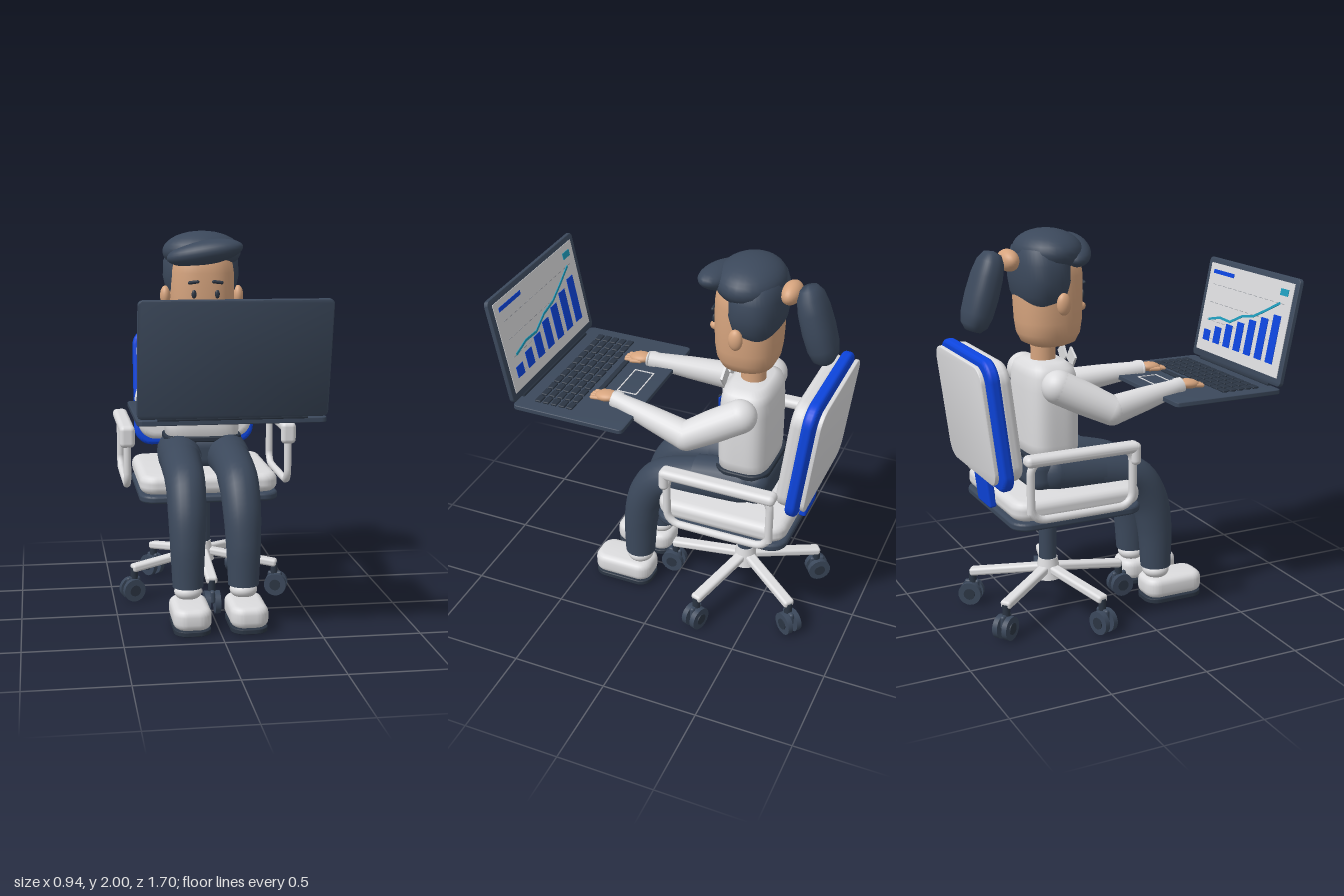
import * as THREE from 'three';
import { RoundedBoxGeometry } from 'three/addons/geometries/RoundedBoxGeometry.js';
import { mergeVertices, toCreasedNormals } from 'three/addons/utils/BufferGeometryUtils.js';

const paint = (name, color) => Object.assign(new THREE.MeshStandardMaterial({ color }), { name });
const navy = paint('navy', 0x3b485b), dark = paint('darkNavy', 0x2b3543), light = paint('lightGrey', 0xdcdcde);
const blue = paint('blue', 0x0d45de), skin = paint('skin', 0xd6a47e), teal = paint('teal', 0x1f9dbd), grey = paint('grey', 0x9b9fa5);

const V = (x, y, z) => new THREE.Vector3(x, y, z);

function add(parent, name, geo, mat, x = 0, y = 0, z = 0, rx = 0, ry = 0, rz = 0) {
  const m = new THREE.Mesh(geo, mat);
  m.name = name;
  m.position.set(x, y, z);
  m.rotation.set(rx, ry, rz);
  parent.add(m);
  return m;
}
const group = (parent, name) => {
  const g = new THREE.Group();
  g.name = name;
  parent.add(g);
  return g;
};
const box = (w, h, d) => new THREE.BoxGeometry(w, h, d);
const rbox = (w, h, d, r) => new RoundedBoxGeometry(w, h, d, 4, r);
const ball = (rx, ry, rz) => new THREE.SphereGeometry(1, 28, 18).scale(rx, ry, rz);
const cyl = (r0, r1, h) => new THREE.CylinderGeometry(r0, r1, h, 28);

function roundRect(w, h, r) {
  const s = new THREE.Shape(), x = w / 2, y = h / 2;
  s.moveTo(-x + r, -y).lineTo(x - r, -y).absarc(x - r, -y + r, r, -Math.PI / 2, 0);
  s.lineTo(x, y - r).absarc(x - r, y - r, r, 0, Math.PI / 2);
  s.lineTo(-x + r, y).absarc(-x + r, y - r, r, Math.PI / 2, Math.PI);
  s.lineTo(-x, -y + r).absarc(-x + r, -y + r, r, Math.PI, Math.PI * 1.5);
  return s;
}
// Slab in the xy plane with round corners and softened rims
function slab(w, h, d, r, b) {
  const g = new THREE.ExtrudeGeometry(roundRect(w, h, r), {
    depth: d - 2 * b, bevelSize: b, bevelThickness: b, bevelOffset: -b, bevelSegments: 4, curveSegments: 8 });
  return toCreasedNormals(g.translate(0, 0, -(d - 2 * b) / 2), 0.7);
}
// Tube whose radius follows the list
function limb(pts, radii) {
  const curve = new THREE.CatmullRomCurve3(pts), N = 32;
  const g = new THREE.TubeGeometry(curve, N, 1, 22), p = g.attributes.position, v = V(0, 0, 0);
  for (let i = 0; i < p.count; i++) {
    const t = Math.floor(i / 23) / N, c = curve.getPointAt(t), k = t * (radii.length - 1);
    const a = Math.min(Math.floor(k), radii.length - 2);
    v.fromBufferAttribute(p, i).sub(c).multiplyScalar(THREE.MathUtils.lerp(radii[a], radii[a + 1], k - a)).add(c);
    p.setXYZ(i, v.x, v.y, v.z);
  }
  return g;
}
// Lathe squeezed in z, with its circle squared off by exponent n
function squareLathe(profile, zRatio, n) {
  const g = new THREE.LatheGeometry(profile.map(([r, y]) => new THREE.Vector2(r, y)), 48), p = g.attributes.position;
  for (let i = 0; i < p.count; i++) {
    const x = p.getX(i), z = p.getZ(i), r = Math.hypot(x, z) || 1;
    const k = (Math.abs(x / r) ** n + Math.abs(z / r) ** n) ** (-1 / n);
    p.setXYZ(i, x * k, p.getY(i), z * k * zRatio);
  }
  g.deleteAttribute('uv');
  g.deleteAttribute('normal');
  const m = mergeVertices(g, 1e-5);
  m.computeVertexNormals();
  return m;
}

function buildChair(root) {
  const chair = group(root, 'chair'), cz = -0.38;
  // Five-spoke base with twin casters
  for (let i = 0; i < 5; i++) {
    const spoke = group(chair, 'baseSpoke');
    spoke.position.z = cz;
    spoke.rotation.y = i * Math.PI * 0.4;
    add(spoke, 'spokeArm', rbox(0.06, 0.042, 0.4, 0.015), light, 0, 0.205, 0.225, 0.14);
    add(spoke, 'casterStem', cyl(0.02, 0.02, 0.1), dark, 0, 0.13, 0.41);
    add(spoke, 'casterHood', rbox(0.026, 0.07, 0.08, 0.012), navy, 0, 0.095, 0.415);
    for (const s of [-1, 1]) {
      add(spoke, 'casterWheel', cyl(0.061, 0.061, 0.028), navy, s * 0.027, 0.061, 0.42, 0, 0, Math.PI / 2);
      add(spoke, 'casterCap', cyl(0.03, 0.03, 0.008), dark, s * 0.042, 0.061, 0.42, 0, 0, Math.PI / 2);
    }
  }
  add(chair, 'hub', cyl(0.05, 0.07, 0.11), light, 0, 0.235, cz);
  add(chair, 'gasColumn', cyl(0.046, 0.046, 0.3), navy, 0, 0.43, cz);
  add(chair, 'tiltHousing', cyl(0.085, 0.085, 0.06), navy, 0, 0.565, cz);
  add(chair, 'heightLever', rbox(0.3, 0.018, 0.03, 0.008), navy, 0.195, 0.573, cz);
  // Seat
  add(chair, 'seatPan', slab(0.74, 0.7, 0.042, 0.09, 0.014), navy, 0, 0.612, -0.35, -Math.PI / 2);
  add(chair, 'seatCushion', slab(0.735, 0.69, 0.1, 0.09, 0.04), light, 0, 0.685, -0.35, -Math.PI / 2);
  // Tilted backrest
  const back = group(chair, 'backrest');
  back.position.set(0, 1.11, -0.748);
  back.rotation.x = -0.122;
  add(back, 'backFrame', slab(0.69, 0.67, 0.058, 0.1, 0.02), blue);
  add(back, 'backCushion', slab(0.65, 0.61, 0.085, 0.1, 0.035), light, 0, 0.005, 0.05);
  add(back, 'backPlate', slab(0.645, 0.6, 0.022, 0.08, 0.006), light, 0, 0.01, -0.052);
  add(back, 'backBracket', rbox(0.17, 0.24, 0.04, 0.012), blue, 0, -0.355, -0.015);
  // Armrests
  for (const s of [-1, 1]) {
    const pts = roundRect(0.54, 0.3, 0.07).getPoints(6).slice(0, -1).map(p => V(s * 0.43, 0.82 + p.y, -0.375 + p.x));
    const loop = new THREE.CatmullRomCurve3(pts, true, 'centripetal');
    add(chair, 'armrestLoop', new THREE.TubeGeometry(loop, 80, 0.02, 12, true), light);
    add(chair, 'armrestPad', rbox(0.08, 0.055, 0.6, 0.025), light, s * 0.43, 0.97, -0.375);
    add(chair, 'armrestTip', rbox(0.08, 0.115, 0.05, 0.024), light, s * 0.43, 0.938, -0.095);
  }
}

function buildLaptop(root) {
  const laptop = group(root, 'laptop');
  add(laptop, 'laptopBase', slab(0.89, 0.61, 0.025, 0.025, 0.005), navy, 0, 1.152, 0.435, -Math.PI / 2);
  for (let r = 0; r < 5; r++) for (let c = 0; c < 11; c++)
    add(laptop, 'key', rbox(0.058, 0.012, 0.034, 0.005), dark, (c - 5) * 0.0685, 1.169, 0.455 + r * 0.0445);
  add(laptop, 'spaceBar', rbox(0.35, 0.012, 0.028, 0.005), dark, 0, 1.169, 0.388);
  // Touchpad outline
  for (const s of [-1, 1]) {
    add(laptop, 'touchpadEdge', box(0.23, 0.004, 0.006), light, 0, 1.166, 0.257 + s * 0.053);
    add(laptop, 'touchpadEdge', box(0.006, 0.004, 0.106), light, s * 0.112, 1.166, 0.257);
  }
  add(laptop, 'hinge', cyl(0.012, 0.012, 0.7), dark, 0, 1.168, 0.73, 0, 0, Math.PI / 2);
  // Lid and its picture, which faces the sitter
  const lid = group(laptop, 'laptopLid');
  lid.position.set(0, 1.168, 0.735);
  lid.rotation.x = 0.195;
  add(lid, 'lidShell', slab(0.89, 0.56, 0.024, 0.025, 0.005), navy, 0, 0.285, 0);
  add(lid, 'screen', box(0.82, 0.49, 0.004), light, 0, 0.29, -0.013);
  for (let i = 0; i < 4; i++) for (let j = 0; j < 14; j++)
    add(lid, 'gridDash', box(0.032, 0.003, 0.002), grey, (j - 6.5) * 0.052, 0.12 + i * 0.1, -0.0155);
  const line = [0.225, 0.25, 0.245, 0.295, 0.315, 0.365, 0.42];
  for (let i = 0; i < 7; i++) {
    const x = 0.325 - i * 0.1065, h = 0.06 + i * 0.032;
    add(lid, 'chartBar', box(0.065, h, 0.004), blue, x, 0.105 + h / 2, -0.016);
    if (i < 6) {
      const dy = line[i + 1] - line[i];
      add(lid, 'chartLine', box(Math.hypot(0.1065, dy) + 0.006, 0.013, 0.004), teal,
        x - 0.053, line[i] + dy / 2, -0.019, 0, 0, -Math.atan2(dy, 0.1065));
    }
  }
  add(lid, 'screenHeading', box(0.21, 0.022, 0.004), blue, 0.265, 0.49, -0.016);
  add(lid, 'screenTag', box(0.07, 0.035, 0.004), teal, -0.335, 0.48, -0.016);
}

function buildHead(p) {
  const head = group(p, 'head');
  add(head, 'neck', cyl(0.062, 0.064, 0.18), skin, 0, 1.39, -0.39);
  add(head, 'skull', squareLathe([[0.001, 1.42], [0.09, 1.425], [0.135, 1.445], [0.158, 1.49], [0.167, 1.55],
    [0.172, 1.65], [0.172, 1.78], [0.16, 1.87], [0.1, 1.93], [0.001, 1.95]], 0.965, 2.4), skin, 0, 0, -0.362);
  add(head, 'nose', ball(0.026, 0.024, 0.032), skin, 0, 1.6, -0.187);
  add(head, 'mouth', new THREE.TorusGeometry(0.03, 0.005, 8, 16, 2), dark, 0, 1.562, -0.203, 0, 0, -Math.PI / 2 - 1);
  for (const s of [-1, 1]) {
    add(head, 'ear', ball(0.028, 0.055, 0.036), skin, s * 0.198, 1.655, -0.36);
    add(head, 'eye', ball(0.013, 0.023, 0.009), dark, s * 0.062, 1.672, -0.199);
    add(head, 'eyebrow', new THREE.CapsuleGeometry(0.009, 0.044, 6, 12), dark, s * 0.064, 1.735, -0.2, 0, 0, Math.PI / 2 - s * 0.12);
  }
  // Hair
  add(head, 'backHair', squareLathe([[0.001, 1.575], [0.09, 1.585], [0.155, 1.63], [0.19, 1.69], [0.205, 1.76],
    [0.202, 1.84], [0.175, 1.91], [0.1, 1.95], [0.001, 1.96]], 0.67, 2.5), navy, 0, 0, -0.404);
  add(head, 'crownHair', ball(0.212, 0.108, 0.168), navy, 0, 1.892, -0.36);
  add(head, 'fringe', ball(0.205, 0.066, 0.095), navy, 0, 1.888, -0.235, 0, -0.22, 0.17);
  add(head, 'hairTie', ball(0.085, 0.055, 0.05), skin, 0, 1.855, -0.565, -0.2);
  add(head, 'ponytail', squareLathe([[0.001, -0.2], [0.05, -0.195], [0.084, -0.165], [0.1, -0.11], [0.105, -0.02],
    [0.1, 0.08], [0.085, 0.15], [0.055, 0.19], [0.001, 0.202]], 0.72, 2.4), navy, 0, 1.712, -0.7, 0.3);
}

function buildPerson(root) {
  const p = group(root, 'person');
  buildHead(p);
  // Shirt
  add(p, 'shirtBody', squareLathe([[0.001, 0.84], [0.195, 0.85], [0.203, 0.95], [0.203, 1.1], [0.2, 1.22], [0.192, 1.29],
    [0.175, 1.33], [0.13, 1.353], [0.001, 1.358]], 0.67, 3.6), light, 0, 0, -0.39);
  for (const s of [-1, 1])
    add(p, 'collarFlap', box(0.075, 0.075, 0.012), light, s * 0.055, 1.355, -0.258, 0, 0, Math.PI / 4 + s * 0.15);
  for (let i = 0; i < 4; i++) add(p, 'button', ball(0.008, 0.008, 0.005), grey, 0, 1.02 + i * 0.088, -0.254);
  add(p, 'badge', rbox(0.036, 0.05, 0.009, 0.004), blue, 0.095, 1.235, -0.252);
  add(p, 'badgeClip', box(0.018, 0.014, 0.009), dark, 0.095, 1.258, -0.249);
  // Hips
  add(p, 'hips', rbox(0.43, 0.2, 0.3, 0.07), navy, 0, 0.805, -0.395);
  add(p, 'belt', slab(0.425, 0.295, 0.03, 0.1, 0.008), dark, 0, 0.885, -0.39, -Math.PI / 2);
  for (const s of [-1, 1]) {
    // Arm and hand
    const arm = group(p, s > 0 ? 'leftArm' : 'rightArm');
    const shoulder = V(s * 0.225, 1.255, -0.405), elbow = V(s * 0.31, 1.13, -0.16), wrist = V(s * 0.215, 1.183, 0.275);
    add(arm, 'shoulder', ball(0.085, 0.085, 0.085), light, ...shoulder);
    add(arm, 'upperSleeve', limb([shoulder, shoulder.clone().lerp(elbow, 0.5), elbow], [0.085, 0.083, 0.074]), light);
    add(arm, 'elbow', ball(0.074, 0.074, 0.074), light, ...elbow);
    add(arm, 'lowerSleeve', limb([elbow, elbow.clone().lerp(wrist, 0.5), wrist], [0.074, 0.06, 0.04]), light);
    add(arm, 'cuff', limb([elbow.clone().lerp(wrist, 0.91), elbow.clone().lerp(wrist, 0.96), wrist], [0.046, 0.048, 0.045]), light);
    add(arm, 'cuffEnd', ball(0.045, 0.045, 0.012), light, ...wrist);
    add(arm, 'palm', ball(0.046, 0.026, 0.062), skin, s * 0.21, 1.19, 0.322, 0.1);
    for (let f = 0; f < 4; f++)
      add(arm, 'finger', new THREE.CapsuleGeometry(0.0105, 0.055, 6, 10), skin,
        s * 0.207 + (f - 1.5) * 0.021, 1.181, 0.375 - Math.abs(f - 1.5) * 0.006, Math.PI / 2 + 0.1);
    add(arm, 'thumb', new THREE.CapsuleGeometry(0.011, 0.045, 6, 10), skin, s * 0.168, 1.183, 0.335, Math.PI / 2, 0, s * 0.25);
    // Leg and shoe
    const leg = group(p, s > 0 ? 'leftLeg' : 'rightLeg');
    add(leg, 'hipJoint', ball(0.12, 0.115, 0.12), navy, s * 0.125, 0.8, -0.39);
    add(leg, 'thighTop', limb([V(s * 0.125, 0.8, -0.4), V(s * 0.13, 0.79, -0.3), V(s * 0.135, 0.775, -0.15)], [0.12, 0.118, 0.112]), navy);
    add(leg, 'trouserLeg', limb([V(s * 0.13, 0.795, -0.38), V(s * 0.138, 0.755, -0.1), V(s * 0.14, 0.7, 0.055), V(s * 0.143, 0.58, 0.135),
      V(s * 0.145, 0.42, 0.17), V(s * 0.145, 0.2, 0.18)], [0.113, 0.11, 0.106, 0.1, 0.09, 0.08]), navy);
    add(leg, 'hem', cyl(0.08, 0.08, 0.006), navy, s * 0.145, 0.202, 0.18);
    add(leg, 'sock', ball(0.072, 0.045, 0.07), light, s * 0.145, 0.172, 0.18);
    add(leg, 'shoe', slab(0.195, 0.33, 0.108, 0.07, 0.035), light, s * 0.145, 0.088, 0.265, -Math.PI / 2);
    add(leg, 'shoeSole', slab(0.19, 0.33, 0.026, 0.07, 0.006), dark, s * 0.145, 0.022, 0.265, -Math.PI / 2);
  }
}

export function createModel() {
  const root = new THREE.Group();
  root.name = 'officeWorker';
  buildChair(root);
  buildPerson(root);
  buildLaptop(root);
  return root;
}
